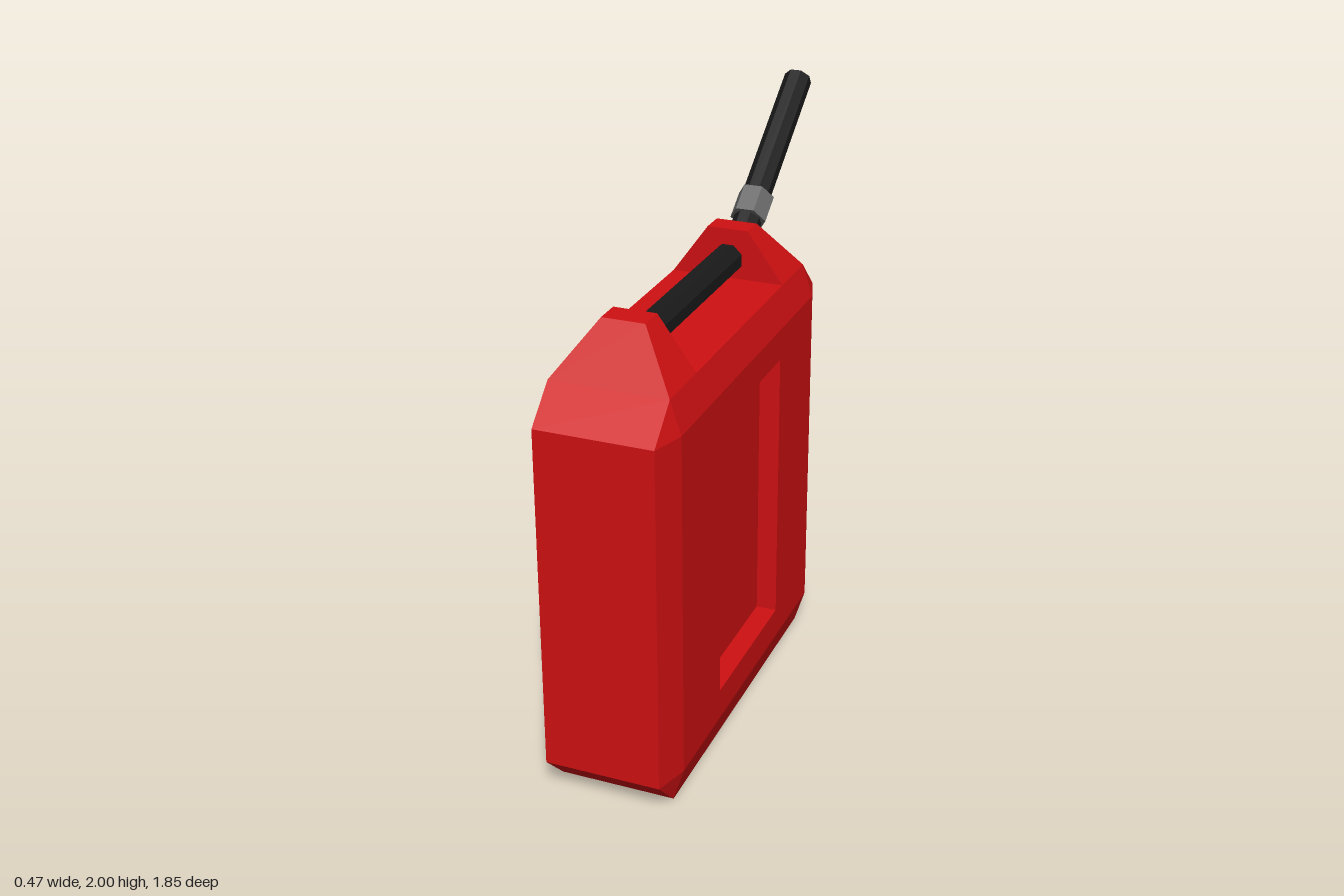
import * as THREE from 'three';

const material = (color) => new THREE.MeshStandardMaterial({ color, flatShading: true });
const red = material(0xd01012);
const black = material(0x1a1a1a);
const steel = material(0x6a6a6a);

// Flat polygons as triangle fans, each turned away from (or toward) a reference point
function facets(name, polygons, ref, toward = false) {
  const positions = [];
  const centre = new THREE.Vector3(...ref);
  for (const polygon of polygons) {
    const p = polygon.map((c) => new THREE.Vector3(...c));
    const normal = p[1].clone().sub(p[0]).cross(p[2].clone().sub(p[0]));
    const outward = normal.dot(p[0].clone().sub(centre)) > 0;
    if (outward === toward) p.reverse();
    for (let i = 1; i < p.length - 1; i++) {
      for (const v of [p[0], p[i], p[i + 1]]) positions.push(v.x, v.y, v.z);
    }
  }
  const geometry = new THREE.BufferGeometry();
  geometry.setAttribute('position', new THREE.Float32BufferAttribute(positions, 3));
  geometry.computeVertexNormals();
  const mesh = new THREE.Mesh(geometry, red);
  mesh.name = name;
  return mesh;
}

// Straight rod between two points in the x = 0 plane
function rod(name, a, b, radius, sides, mat, turn) {
  const start = new THREE.Vector3(0, ...a);
  const end = new THREE.Vector3(0, ...b);
  const dir = end.clone().sub(start);
  const geometry = new THREE.CylinderGeometry(radius, radius, dir.length(), sides);
  geometry.rotateY(turn);
  const mesh = new THREE.Mesh(geometry, mat);
  mesh.position.copy(start).add(end).multiplyScalar(0.5);
  mesh.quaternion.setFromUnitVectors(new THREE.Vector3(0, 1, 0), dir.normalize());
  mesh.name = name;
  return mesh;
}

export function createModel() {
  const group = new THREE.Group();
  group.name = 'fuelCan';

  const W = 0.237, w = 0.2;                     // half widths: middle, narrowed edge
  const low = 0.12, high = 1.33, deck = 1.443, top = 1.62;
  const ends = [{ outer: 0.93, inner: 0.81, grip: 0.6, peak: 0.69 },
    { outer: -0.515, inner: -0.4, grip: -0.185, peak: -0.27 }];
  const [f, b] = ends;
  const hole = { z0: -0.07, z1: 0.487, y0: 0.23, y1: 1.22, floor: W - 0.073 };

  // Chamfered shell
  const shell = [
    [[-w, 0, f.inner], [w, 0, f.inner], [w, 0, b.inner], [-w, 0, b.inner]],
    [[-w, deck, f.grip], [w, deck, f.grip], [w, deck, b.grip], [-w, deck, b.grip]],
  ];
  const levels = [[low, 0], [high, deck]];
  for (const e of ends) {
    shell.push([[-w, low, e.outer], [w, low, e.outer], [w, high, e.outer], [-w, high, e.outer]]);
    for (const [y, edge] of levels) {
      shell.push([[-w, y, e.outer], [w, y, e.outer], [w, edge, e.inner], [-w, edge, e.inner]]);
    }
  }
  for (const s of [1, -1]) {
    for (const [y, edge] of levels) {
      shell.push([[s * W, y, f.inner], [s * W, y, b.inner], [s * w, edge, b.inner], [s * w, edge, f.inner]]);
    }
    for (const e of ends) {
      shell.push([[s * w, low, e.outer], [s * W, low, e.inner], [s * W, high, e.inner], [s * w, high, e.outer]]);
      for (const [y, edge] of levels) {
        shell.push([[s * w, y, e.outer], [s * W, y, e.inner], [s * w, edge, e.inner]]);
      }
    }
    // Side wall as a frame around the recess
    const outer = [[low, b.inner], [low, f.inner], [high, f.inner], [high, b.inner]];
    const inner = [[hole.y0, hole.z0], [hole.y0, hole.z1], [hole.y1, hole.z1], [hole.y1, hole.z0]];
    const recess = [inner.map(([y, z]) => [s * hole.floor, y, z])];
    for (let i = 0; i < 4; i++) {
      const j = (i + 1) % 4;
      shell.push([[s * W, ...outer[i]], [s * W, ...outer[j]], [s * W, ...inner[j]], [s * W, ...inner[i]]]);
      recess.push([[s * W, ...inner[i]], [s * W, ...inner[j]], [s * hole.floor, ...inner[j]], [s * hole.floor, ...inner[i]]]);
    }
    group.add(facets(s > 0 ? 'leftRecess' : 'rightRecess', recess, [s * (W - 0.02), 0.7, 0.2], true));
  }
  group.add(facets('body', shell, [0, 0.7, 0.2]));

  // Tapered grip supports at both ends of the deck
  const t = 0.073;
  for (const e of ends) {
    const base = [[-w, deck, e.grip], [w, deck, e.grip], [w, deck, e.inner], [-w, deck, e.inner]];
    const cap = [[-t, top, e.grip], [t, top, e.grip], [t, top, e.peak], [-t, top, e.peak]];
    const faces = [cap];
    for (let i = 0; i < 4; i++) {
      const j = (i + 1) % 4;
      faces.push([base[i], base[j], cap[j], cap[i]]);
    }
    const mid = (e.grip + e.peak) / 2;
    group.add(facets(e === f ? 'frontSupport' : 'backSupport', faces, [0, 1.5, mid]));
  }

  // Handle bar, pouring spout and its collar nut
  group.add(rod('handle', [1.512, b.grip - 0.02], [1.512, f.grip + 0.02], 0.055, 8, black, Math.PI / 8));
  group.add(rod('spout', [1.517, -0.28], [1.963, -0.893], 0.05, 8, black, Math.PI / 8));
  group.add(rod('collar', [1.591, -0.381], [1.652, -0.466], 0.065, 6, steel, Math.PI / 6 * 3));
  return group;
}
